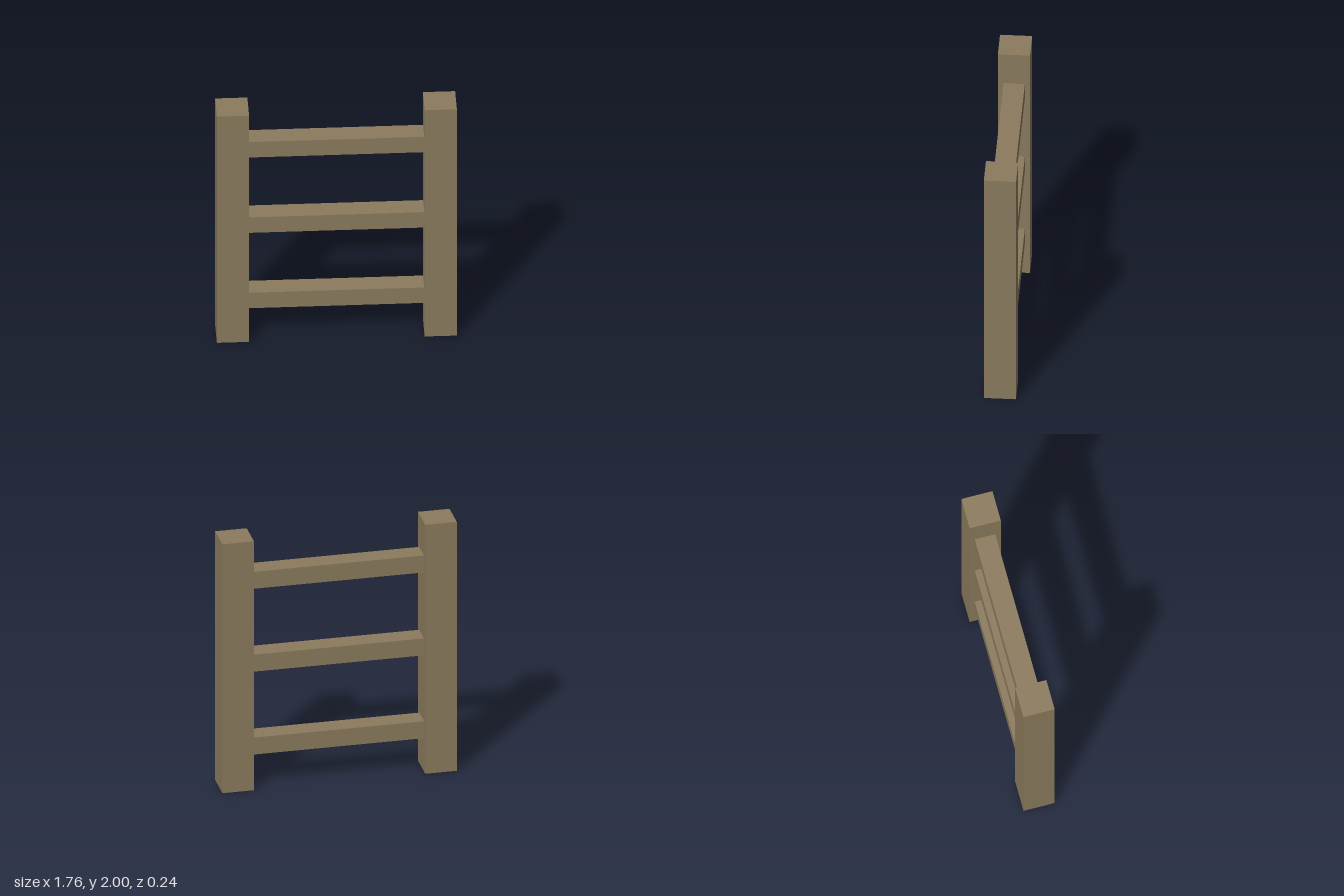
import * as THREE from 'three';

export function createModel() {
  const group = new THREE.Group();
  group.name = 'ladder';
  const wood = new THREE.MeshStandardMaterial({ color: 0x8b7b5e });
  wood.name = 'wood';

  const addBox = (name, w, h, d, x, y, z) => {
    const mesh = new THREE.Mesh(new THREE.BoxGeometry(w, h, d), wood);
    mesh.name = name;
    mesh.position.set(x, y, z);
    group.add(mesh);
  };

  // upright posts
  addBox('leftPost', 0.236, 2, 0.236, 0.76, 1, 0);
  addBox('rightPost', 0.236, 2, 0.236, -0.76, 1, 0);

  // rungs, butted against the inner faces of the posts
  ['lowerRung', 'middleRung', 'upperRung'].forEach((name, i) => {
    addBox(name, 1.284, 0.136, 0.156, 0, 0.337 + i * 0.666, -0.002);
  });

  return group;
}
